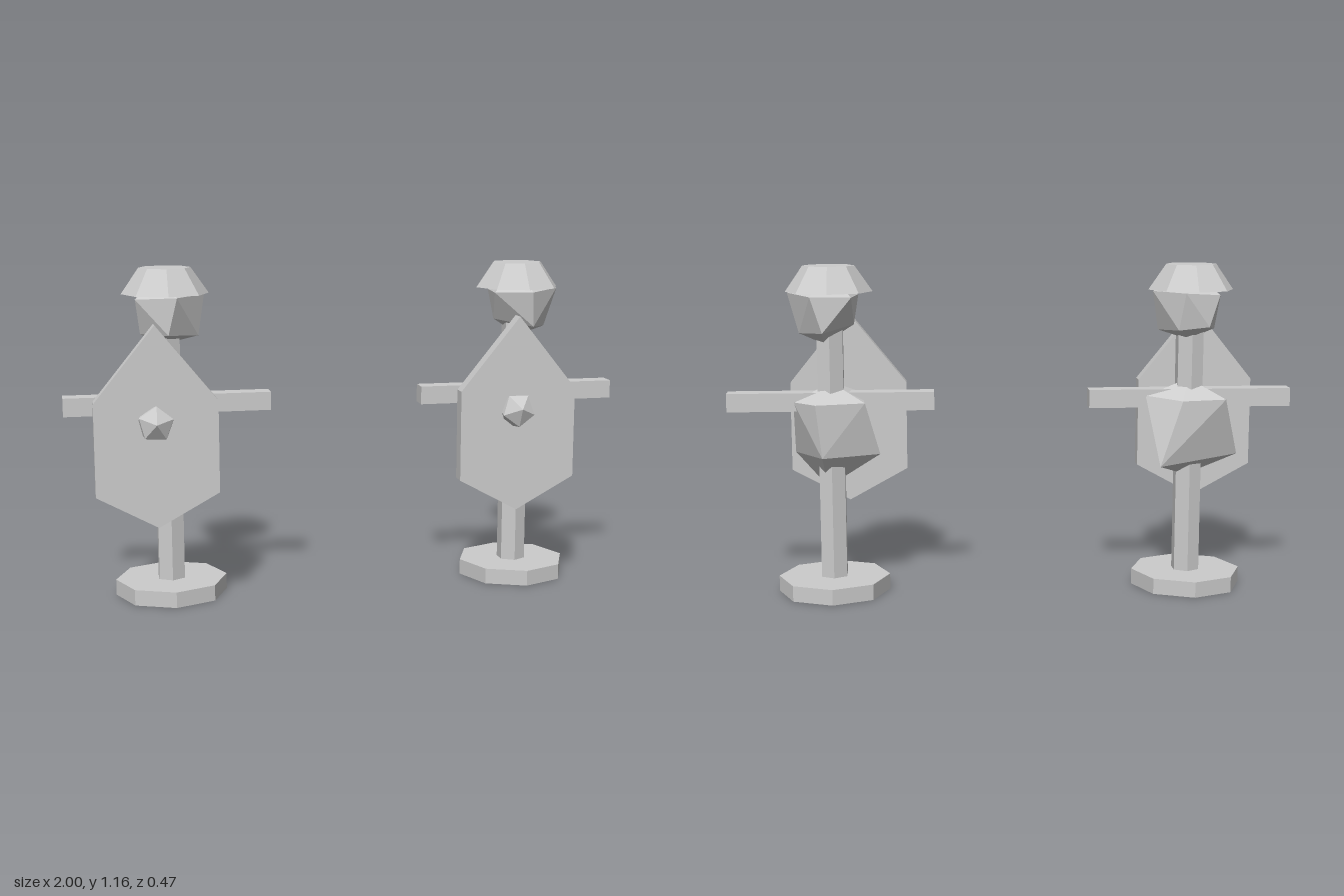
import * as THREE from 'three';
import { ConvexGeometry } from 'three/addons/geometries/ConvexGeometry.js';

const grey = new THREE.MeshStandardMaterial({ color: 0xcccccc, flatShading: true });
grey.name = 'plainGrey';

function add(group, name, geometry, x = 0, y = 0, z = 0) {
  const mesh = new THREE.Mesh(geometry, grey);
  mesh.name = name;
  mesh.position.set(x, y, z);
  group.add(mesh);
  return mesh;
}

// Faceted lump wrapped around a few corner points
const lump = (points) => new ConvexGeometry(points.map((p) => new THREE.Vector3(...p)));

// Corner points of the two differently cut torsos and heads
const torsos = [
  [[0, 0.757, 0], [0.16, 0.70, -0.03], [0.05, 0.70, 0.125], [-0.1, 0.70, 0.08], [-0.12, 0.69, -0.08],
    [0.04, 0.69, -0.11], [0.12, 0.46, -0.13], [-0.18, 0.48, 0], [0.1, 0.5, 0.08], [-0.08, 0.49, 0.09], [0, 0.40, 0.03]],
  [[0, 0.757, 0], [0.13, 0.69, -0.03], [0.05, 0.70, 0.128], [-0.1, 0.71, 0.08], [-0.12, 0.69, -0.07],
    [0.05, 0.69, -0.11], [0.135, 0.49, 0.097], [-0.17, 0.50, -0.02], [0.03, 0.5, -0.1], [-0.06, 0.5, 0.09], [0.018, 0.375, 0.026]],
];
const heads = [
  [[0, 1.14, 0], [-0.107, 1.06, 0.05], [0.03, 1.07, 0.13], [0.135, 1.07, 0], [0.04, 1.07, -0.128], [-0.09, 1.06, -0.08],
    [-0.09, 0.935, 0.01], [0.0, 0.94, 0.11], [0.11, 0.93, 0.03], [0.06, 0.94, -0.11], [-0.05, 0.95, -0.1], [0.01, 0.90, -0.02]],
  [[0, 1.14, 0], [-0.1, 1.06, 0.06], [0.02, 1.065, 0.134], [0.147, 1.07, 0.02], [0.06, 1.065, -0.128], [-0.08, 1.06, -0.09],
    [-0.085, 0.96, 0.0], [0.03, 0.94, 0.115], [0.107, 0.93, 0.0], [0.02, 0.94, -0.125], [0.02, 0.895, -0.026]],
];

// Six-cornered shield plate, pointed at top and bottom
function shieldGeometry() {
  const outline = [[0, 0.99], [-0.21, 0.73], [-0.21, 0.41], [0, 0.295], [0.21, 0.41], [0.21, 0.73]];
  const shape = new THREE.Shape(outline.map((p) => new THREE.Vector2(...p)));
  return new THREE.ExtrudeGeometry(shape, { depth: 0.052, bevelEnabled: false });
}

function createDummy(index) {
  const dummy = new THREE.Group();
  dummy.name = index ? 'leftDummy' : 'rightDummy';

  // Stand and post
  add(dummy, 'base', new THREE.CylinderGeometry(0.198, 0.198, 0.056, 8), 0, 0.028);
  add(dummy, 'post', new THREE.CylinderGeometry(0.052, 0.052, 0.94, 6), 0, 0.48);

  // Stuffed torso, crossbar arms, head and helmet
  add(dummy, 'torso', lump(torsos[index]));
  add(dummy, 'arms', new THREE.BoxGeometry(0.725, 0.065, 0.065), 0, 0.69);
  add(dummy, 'head', lump(heads[index]));
  add(dummy, 'helmet', new THREE.CylinderGeometry(0.09, 0.152, 0.09, 8), 0, 1.12);

  // Shield with a faceted boss through its middle
  add(dummy, 'shield', shieldGeometry(), -0.055, 0, 0.164);
  const boss = add(dummy, 'shieldBoss', new THREE.IcosahedronGeometry(0.068), -0.058, 0.655, 0.2);
  boss.rotation.set(0.4 + index, 0.3, 0.5);

  dummy.position.set(index ? 0.6375 : -0.6375, 0, -0.034);
  return dummy;
}

export function createModel() {
  const model = new THREE.Group();
  model.name = 'trainingDummies';
  for (const index of [0, 1]) model.add(createDummy(index));
  return model;
}
